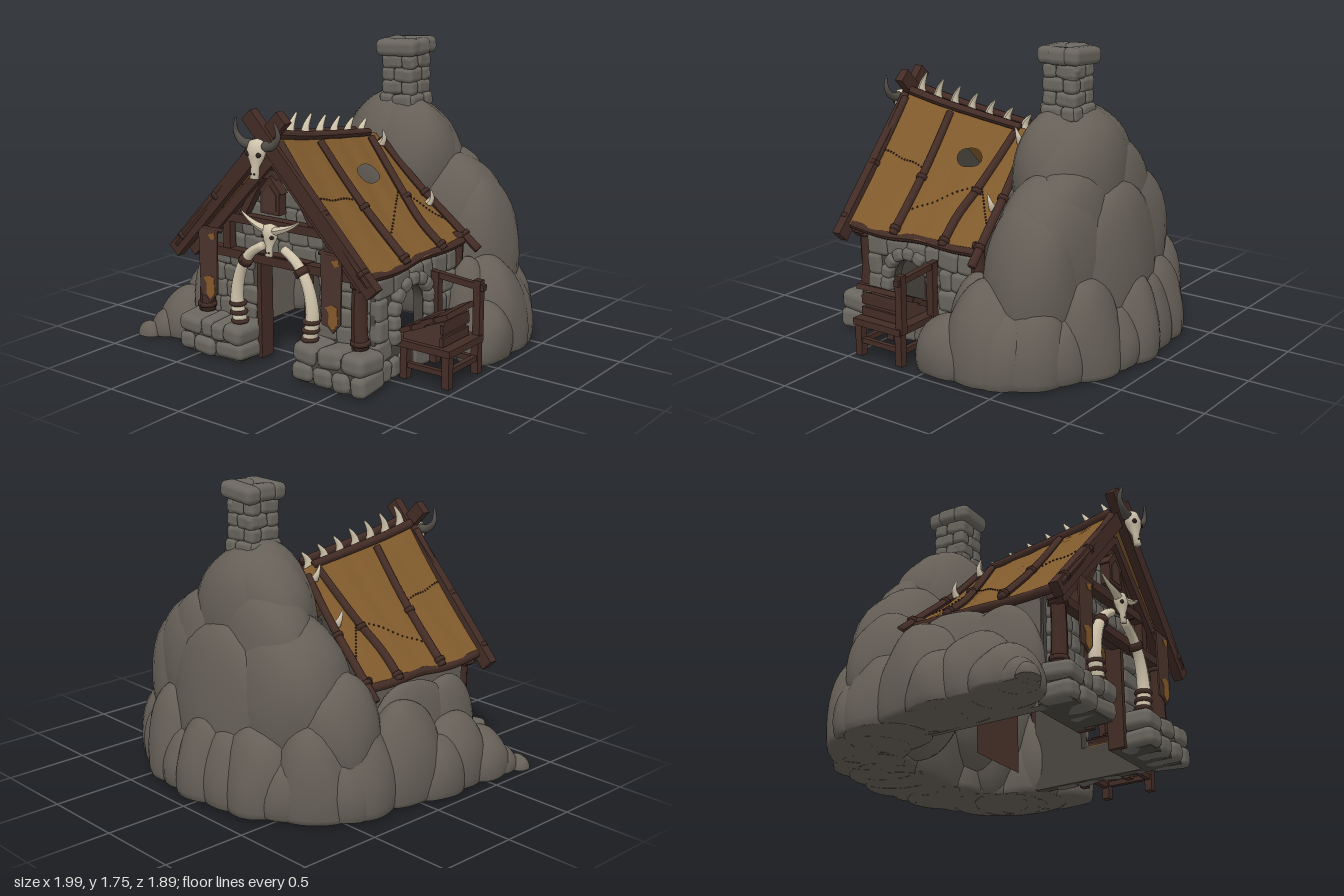
import * as THREE from 'three';
import { mergeVertices } from 'three/addons/utils/BufferGeometryUtils.js';
import { RoundedBoxGeometry } from 'three/addons/geometries/RoundedBoxGeometry.js';

const CX = 0.025; // centre line of the hut
const mat = (name, color) => Object.assign(new THREE.MeshStandardMaterial({ color }), { name });
const V = (x, y, z) => new THREE.Vector3(x, y, z);

export function createModel() {
  const root = new THREE.Group();
  const rockM = mat('rock', 0x655f57), stoneM = mat('cut stone', 0x6a665f), gapM = mat('mortar', 0x4a4640);
  const woodM = mat('wood', 0x432c25), doorM = mat('door wood', 0x4b342c), hideM = mat('hide', 0x805a2c);
  const stainM = mat('hide patch', 0x85592a), boneM = mat('bone', 0xcfc3aa), hornM = mat('horn', 0x514c46), darkM = mat('dark', 0x2a211d);
  hideM.side = THREE.DoubleSide;

  let seed = 7;
  const rnd = (a, b) => { seed = (seed * 16807) % 2147483647; return a + (b - a) * seed / 2147483647; };
  const add = (name, geo, m, x = 0, y = 0, z = 0, parent = root) => {
    const mesh = new THREE.Mesh(geo, m);
    mesh.name = name; mesh.position.set(x, y, z); parent.add(mesh);
    return mesh;
  };
  const box = (name, w, h, d, x, y, z, m = woodM, p = root) => add(name, new THREE.BoxGeometry(w, h, d), m, x, y, z, p);
  const stone = (w, h, d, x, y, z, p) => {
    const s = add('stone', new RoundedBoxGeometry(w, h, d, 2, Math.min(w, h, d) * 0.36), stoneM, x, y, z, p);
    s.rotation.set(rnd(-0.08, 0.08), rnd(-0.08, 0.08), rnd(-0.14, 0.14));
    return s;
  };
  // square timber between two points
  const beam = (name, a, b, w, d) => {
    const m = box(name, w, a.distanceTo(b), d, 0, 0, 0);
    m.position.copy(a).add(b).multiplyScalar(0.5);
    m.quaternion.setFromUnitVectors(V(0, 1, 0), b.clone().sub(a).normalize());
  };
  // curved tapering rod with flat ends
  const rod = (name, pts, r0, r1, m = woodM, p = root, n = 16, sides = 9) => {
    const path = new THREE.CatmullRomCurve3(pts), g = new THREE.TubeGeometry(path, n, 1, sides, false);
    const pos = g.attributes.position, v = V(0, 0, 0);
    for (let i = 0; i <= n; i++) {
      const c = path.getPointAt(i / n), j = Math.min(n - 1, Math.max(1, i)), to = path.getPointAt(j / n);
      const r = i === j ? r0 + (r1 - r0) * i / n : 0;
      for (let k = 0; k <= sides; k++) {
        const id = i * (sides + 1) + k;
        v.fromBufferAttribute(pos, id).sub(c).multiplyScalar(r).add(to);
        pos.setXYZ(id, v.x, v.y, v.z);
      }
    }
    g.computeVertexNormals();
    add(name, g, m, 0, 0, 0, p);
  };

  // Rock mound: overlapping lumpy boulders cut flat at the ground
  const boulder = (x, y, z, rx, ry, rz) => {
    let g = new THREE.SphereGeometry(1, 28, 20);
    g.deleteAttribute('uv'); g.deleteAttribute('normal');
    g = mergeVertices(g, 1e-4);
    const p = g.attributes.position;
    for (let i = 0; i < p.count; i++) {
      const a = p.getX(i), b = p.getY(i), c = p.getZ(i);
      const s = 1 + 0.025 * Math.sin(4 * a + 9 * x + 2 * b) + 0.025 * Math.sin(5 * c + 3 * b + 7 * z);
      p.setXYZ(i, x + a * rx * s, Math.max(0, y + b * ry * s), z + c * rz * s);
    }
    g.computeVertexNormals();
    add('boulder', g, rockM);
  };
  // ring of base boulders around the back
  for (let i = 0; i < 13; i++) {
    const a = i * Math.PI / 12, odd = i % 2;
    boulder(0.05 + 0.69 * Math.cos(a), 0.1, -0.3 - 0.4 * Math.sin(a), 0.24, (odd ? 0.3 : 0.42) + 0.05 * Math.sin(i * 2), odd ? 0.23 : 0.25);
  }
  // peak and shoulders
  [[0.06, 0.95, -0.4, 0.41, 0.45, 0.29], [-0.04, 1, -0.42, 0.31, 0.37, 0.24], [0.17, 1, -0.36, 0.28, 0.38, 0.24],
    [-0.25, 0.55, -0.44, 0.39, 0.52, 0.32], [0.36, 0.6, -0.46, 0.38, 0.48, 0.29], [0.54, 0.46, -0.46, 0.26, 0.5, 0.27],
    [0.05, 0.42, -0.6, 0.46, 0.58, 0.23], [-0.14, 0.78, -0.48, 0.32, 0.44, 0.23], [0.3, 0.74, -0.52, 0.29, 0.38, 0.2],
    [-0.54, 0.38, -0.36, 0.26, 0.38, 0.26]].forEach(b => boulder(...b));
  // boulders along the sides
  [[0.84, 0.1, -0.1, 0.16, 0.22, 0.2], [0.68, 0.2, -0.18, 0.15, 0.32, 0.16], [-0.72, 0.15, 0, 0.19, 0.4, 0.28],
    [-0.82, 0.08, 0.18, 0.14, 0.25, 0.2], [-0.76, 0.1, 0.36, 0.18, 0.3, 0.24], [-0.79, 0.05, 0.56, 0.18, 0.22, 0.2],
    [-0.64, 0.26, 0.14, 0.12, 0.36, 0.34], [-0.63, 0.22, 0.42, 0.13, 0.36, 0.25], [-0.86, 0.03, 0.68, 0.1, 0.12, 0.11],
    [-0.93, 0, 0.78, 0.07, 0.08, 0.06]].forEach(b => boulder(...b));

  // Stone facing laid in uneven courses on a local plane
  const courses = (p, x0, x1, y0, y1, rows, d, keep = () => true) => {
    const h = (y1 - y0) / rows;
    for (let r = 0; r < rows; r++) for (let x = x0; x < x1 - 0.03;) {
      let w = Math.min(rnd(0.08, 0.17), x1 - x);
      if (x1 - x - w < 0.06) w = x1 - x;
      const cx = x + w / 2, cy = y0 + h * (r + 0.5);
      if (keep(cx, cy, w / 2)) stone(w * 1.04, h * rnd(0.95, 1.15), d * rnd(0.88, 1.1), cx, cy, 0, p);
      x += w;
    }
  };
  const wallGroup = (name, x, z, ry) => {
    const g = new THREE.Group(); g.name = name; g.position.set(x, 0, z); g.rotation.y = ry; root.add(g); return g;
  };
  const slab = pts => new THREE.Shape(pts.map(q => new THREE.Vector2(...q)));
  const thin = (shape, depth) => new THREE.ExtrudeGeometry(shape, { depth, bevelEnabled: false, curveSegments: 10 });

  // Gable wall with doorway
  const front = wallGroup('frontWall', CX, 0.64, 0);
  add('wallCore', thin(slab([[-0.6, 0], [-0.175, 0], [-0.175, 0.6], [0.175, 0.6], [0.175, 0], [0.6, 0], [0.6, 0.6], [0, 1.2], [-0.6, 0.6]]), 0.06), gapM, 0, 0, -0.05, front);
  courses(front, -0.57, 0.57, 0.2, 1.1, 9, 0.07, (x, y, w) => Math.abs(x) + w < 1.18 - y && (y > 0.62 || Math.abs(x) - w > 0.16));
  // Front plinths
  for (const s of [-1, 1]) {
    const g = wallGroup('plinth', CX + s * 0.42, 0.735, 0);
    box('plinthCore', 0.42, 0.18, 0.19, 0, 0.09, -0.01, gapM, g);
    courses(g, -0.24, 0.24, 0, 0.21, 2, 0.23);
  }
  // Stone side wall with arched window; rock face on the other side
  box('rockFace', 0.06, 0.62, 0.83, CX - 0.58, 0.31, 0.225, rockM);
  const side = wallGroup('sideWall', CX + 0.59, 0.33, Math.PI / 2);
  const sideShape = slab([[-0.32, 0], [0.45, 0], [0.45, 0.62], [-0.32, 0.62]]), arch = new THREE.Path();
  arch.moveTo(-0.13, 0.2).lineTo(0.13, 0.2).lineTo(0.13, 0.36).absarc(0, 0.36, 0.13, 0, Math.PI, false);
  arch.closePath();
  sideShape.holes.push(arch);
  add('wallCore', thin(sideShape, 0.06), gapM, 0, 0, -0.05, side);
  courses(side, -0.32, 0.44, 0, 0.6, 5, 0.08, (x, y, w) => y < 0.17 || (y < 0.36 ? Math.abs(x) - w > 0.12 : Math.hypot(Math.max(0, Math.abs(x) - w), y - 0.36) > 0.15));
  for (let i = 0; i < 7; i++) {
    const a = Math.PI * (i + 0.5) / 7;
    stone(0.075, 0.08, 0.1, 0.17 * Math.cos(a), 0.36 + 0.17 * Math.sin(a), 0.015, side).rotation.z = a;
  }
  for (const t of [-1, 1]) for (const y of [0.24, 0.32]) stone(0.075, 0.085, 0.1, t * 0.17, y, 0.015, side);
  box('windowSillHide', 0.2, 0.008, 0.13, 0, 0.205, 0.02, stainM, side);

  // Doorway timbers and inner door
  add('innerDoor', new THREE.PlaneGeometry(0.42, 0.62), doorM, CX, 0.31, -0.03);
  for (const s of [-1, 1]) box('doorPost', 0.03, 0.6, 0.1, CX + s * 0.17, 0.3, 0.64);
  box('lintel', 0.42, 0.05, 0.1, CX, 0.61, 0.68);

  // Hide roof: point on either slope, u front to back, v ridge to eave
  const roof = (s, u, v, lift = 0) => {
    const zb = -0.12 - 0.07 * v;
    const sag = 0.025 * Math.sin(Math.PI * Math.min(1, Math.max(0, v))) + 0.01 * Math.sin(u * 16 + 1 + v * 2) ** 2;
    const ridge = 1.33 - 0.17 * u + 0.04 * u * u;
    return V(CX + s * (0.045 + 0.6 * v + lift * 0.7), ridge + (0.64 - ridge) * v - sag + lift * 0.7, 0.8 + (zb - 0.8) * u);
  };
  for (const s of [-1, 1]) {
    // hide panel woven from the smoke hole out to its edges
    const hr = s > 0 ? 0.09 : 0.001, N = 64, R = 12, pos = [], idx = [];
    for (let k = 0; k <= N; k++) {
      const t = 4 * k / N, e = Math.floor(t) % 4, f = t - Math.floor(t);
      const [eu, ev] = [[f, 0], [1, f], [1 - f, 1], [0, 1 - f]][e], a = Math.atan2(ev - 0.3, eu - 0.64);
      for (let j = 0; j <= R; j++) {
        const q = j / R, hu = 0.64 + hr * Math.cos(a), hv = 0.3 + hr * 0.8 * Math.sin(a);
        pos.push(...roof(s, hu + (eu - hu) * q, hv + (ev - hv) * q).toArray());
        if (k < N && j < R) { const b = k * (R + 1) + j, c = b + R + 1; idx.push(b, c, b + 1, c, c + 1, b + 1); }
      }
    }
    const g = new THREE.BufferGeometry();
    g.setAttribute('position', new THREE.Float32BufferAttribute(pos, 3)); g.setIndex(idx); g.computeVertexNormals();
    add('hideRoof', g, hideM);
    // poles over the hide: [u at ridge, u at eave, length]
    for (const [a, b, end] of [[0.01, 0, 1.12], [0.38, 0.38, 1.07], [0.9, 0.74, 1.07], [0.99, 0.99, 1.18]]) {
      const along = v => a + (b - a) * Math.min(1, v * 1.3);
      rod('roofPole', [-0.02, 0.25, 0.5, 0.75, end].map(v => roof(s, along(v), v, 0.012)), 0.022, 0.026);
      for (const v of [0.5, 0.93]) rod('poleKnot', [0, 0.03, 0.06].map(d => roof(s, along(v), v + d, 0.012)), 0.032, 0.032, woodM, root, 4);
    }
    rod('ridgePole', [0, 0.3, 0.6, 1].map(u => roof(s, u - 0.03, 0, 0.01)), 0.027, 0.024);
    rod('eavePole', [-0.02, 0.3, 0.55, 0.8, 1.03].map((u, i) => roof(s, u, 0.98 + 0.02 * (i % 2), -0.02)), 0.026, 0.026);
    // stitched seams
    for (const [u0, v0, u1, v1] of [[0.03, 0.42, 0.36, 0.46], [0.42, 0.78, 0.8, 0.45], [0.82, 0.5, 0.98, 0.8]]) for (let i = 0; i < 14; i++) {
      const q = roof(s, u0 + (u1 - u0) * i / 14, v0 + (v1 - v0) * i / 14, 0.003);
      box('stitch', 0.009, 0.008, 0.007, q.x, q.y, q.z).rotation.z = s * -0.8;
    }
    // crossed front rafters and inner truss
    beam('frontRafter', V(CX + s * 0.7, 0.57, 0.79), V(CX - s * 0.11, 1.43, 0.805 + s * 0.012), 0.085, 0.055);
    beam('innerRafter', V(CX + s * 0.6, 0.57, 0.74), V(CX, 1.19, 0.74), 0.055, 0.06);
    beam('strut', V(CX + s * 0.36, 0.6, 0.715), V(CX + s * 0.36, 0.86, 0.715), 0.05, 0.05);
    beam('brace', V(CX + s * 0.27, 0.8, 0.71), V(CX + s * 0.1, 1.09, 0.71), 0.04, 0.05);
    // posts
    rod('frontPost', [V(CX + s * 0.55, 0.19, 0.71), V(CX + s * 0.54, 0.4, 0.71), V(CX + s * 0.55, 0.66, 0.71)], 0.048, 0.04);
    for (const y of [0.23, 0.55]) rod('postBand', [0, 0.025, 0.05].map(d => V(CX + s * 0.548, y + d, 0.71)), 0.056, 0.056, woodM, root, 4);
    rod('rearPost', [V(CX + s * 0.6, 0.1, -0.13), V(CX + s * 0.6, 0.4, -0.14), V(CX + s * 0.6, 0.72, -0.15)], 0.04, 0.035);
    // banners with patches
    const bx = CX + s * 0.435;
    rod('bannerRod', [V(bx - 0.1, 0.74, 0.8), V(bx, 0.735, 0.8), V(bx + 0.1, 0.74, 0.8)], 0.014, 0.014);
    add('banner', thin(slab([[-0.07, 0.74], [-0.065, 0.35], [-0.02, 0.34], [0.01, 0.31], [0.06, 0.37], [0.07, 0.74]]), 0.01), doorM, bx, 0, 0.804);
    add('bannerPatch', thin(slab([[-0.04, 0.45], [-0.015, 0.42], [-0.02, 0.36], [0.012, 0.33], [0.045, 0.37], [0.04, 0.46], [0.01, 0.47]]), 0.003), stainM, bx, 0, 0.814);
    add('bannerTopPatch', thin(slab([[0, 0.71], [0.025, 0.68], [0.055, 0.69], [0.05, 0.725]]), 0.003), stainM, bx, 0, 0.814);
    // door tusks
    rod('tusk', [[0.245, 0.2], [0.27, 0.36], [0.235, 0.53], [0.16, 0.64], [0.05, 0.71]].map(([x, y]) => V(CX + s * x, y, 0.765)), 0.043, 0.024, boneM, root, 24, 12);
    for (const [x, y] of [[0.25, 0.23], [0.257, 0.28], [0.262, 0.33]]) {
      const t = add('tuskBinding', new THREE.TorusGeometry(0.04, 0.013, 6, 14), woodM, CX + s * x, y, 0.765);
      t.rotation.x = Math.PI / 2;
    }
    rod('tuskBinding', [0, 0.025, 0.05].map(d => V(CX + s * (0.222 - d), 0.56 + d * 1.3, 0.765)), 0.042, 0.04, woodM, root, 4);
    // teeth standing on the slopes
    for (const [u, v] of [[0.95, s > 0 ? 0.62 : 0.45], [0.95, 0.1]]) {
      const q = roof(s, u, v);
      rod('roofTooth', [q, q.clone().add(V(s * 0.025, 0.04, 0)), q.clone().add(V(s * 0.03, 0.1, 0.02))], 0.025, 0.003, boneM);
    }
  }
  // cross ties and attic hatch
  for (const [y, w] of [[0.6, 0.62], [0.81, 0.38], [1.09, 0.12]]) beam('tieBeam', V(CX - w, y, 0.715), V(CX + w, y + 0.01, 0.715), 0.05, 0.06);
  add('hatchFrame', thin(slab([[-0.065, 0.88], [0.065, 0.88], [0.065, 1.0], [0.08, 1.0], [0, 1.09], [-0.08, 1.0], [-0.065, 1.0]]), 0.06), woodM, CX - 0.015, 0, 0.71);
  add('hatchPanel', thin(slab([[-0.045, 0.9], [0.045, 0.9], [0.045, 0.99], [0, 1.04], [-0.045, 0.99]]), 0.004), doorM, CX - 0.015, 0, 0.77);

  // Ridge teeth
  for (let i = 0; i < 7; i++) {
    const z = 0.71 - i * 0.127, y = 1.3 - (0.8 - z) * 0.15, h = 0.16 - i * 0.008;
    rod('ridgeTooth', [V(CX, y, z + 0.03), V(CX, y + h * 0.5, z + 0.015), V(CX + 0.005, y + h, z - 0.03)], 0.034, 0.004, boneM);
  }

  // Horned skulls
  const skull = (name, y, z, k, tilt, hornMat, horn) => {
    const g = new THREE.Group(); g.name = name; g.position.set(CX, y, z); g.scale.setScalar(k); g.rotation.x = tilt; root.add(g);
    const prof = [[0, -0.13], [0.028, -0.125], [0.026, -0.06], [0.05, -0.01], [0.06, 0.03], [0.048, 0.075], [0, 0.09]].map(q => new THREE.Vector2(...q));
    add('skullBone', new THREE.LatheGeometry(prof, 14), boneM, 0, 0, 0, g).scale.z = 0.75;
    for (const s of [-1, 1]) {
      add('eyeSocket', new THREE.SphereGeometry(0.014, 10, 8), darkM, s * 0.036, 0.005, 0.026, g);
      add('nostril', new THREE.SphereGeometry(0.006, 8, 6), darkM, s * 0.011, -0.1, 0.018, g);
      rod('skullHorn', horn.map(q => V(s * q[0], q[1], q[2])), 0.032, 0.004, hornMat, g);
    }
  };
  skull('gableSkull', 1.23, 0.89, 1, -0.15, hornM, [[0.03, 0.05, -0.01], [0.1, 0.06, 0], [0.145, 0.11, 0.01], [0.13, 0.2, 0.04]]);
  skull('doorSkull', 0.76, 0.79, 0.85, -0.1, boneM, [[0.02, 0.04, 0], [0.09, 0.06, 0.01], [0.17, 0.09, 0.01], [0.25, 0.14, 0.01]]);

  // Chimney
  const chimney = wallGroup('chimney', 0.1, -0.38, 0);
  box('flue', 0.17, 0.33, 0.17, 0, 1.47, 0, gapM, chimney);
  for (let r = 0; r < 4; r++) for (let k = 0; k < 4; k++) {
    const a = k * Math.PI / 2 + (r % 2) * 0.04, w = 0.085 + 0.05 * ((r + k) % 2), d = r === 0 ? 0.09 : 0.073;
    for (const [o, ww] of [[-0.11 + w / 2, w], [w / 2, 0.22 - w]])
      stone(ww, 0.085, 0.07, Math.cos(a) * o + Math.sin(a) * d, 1.36 + r * 0.077, -Math.sin(a) * o + Math.cos(a) * d, chimney).rotation.y = a;
  }
  for (const s of [-1, 1]) {
    stone(0.265, 0.1, 0.11, 0, 1.675, s * 0.087, chimney);
    stone(0.105, 0.1, 0.15, s * 0.08, 1.675, 0, chimney);
  }

  // Side stall with a sloped bin
  box('stallTop', 0.36, 0.04, 0.34, 0.8, 0.2, 0.3);
  for (const z of [0.15, 0.44]) {
    for (const x of [0.68, 0.95]) box('stallLeg', 0.045, 0.2, 0.045, x, 0.1, z);
    box('stallRail', 0.3, 0.03, 0.03, 0.81, 0.08, z);
  }
  box('stallCrossRail', 0.03, 0.03, 0.3, 0.95, 0.09, 0.3);
  for (const x of [0.68, 0.95]) box('tallPost', 0.045, 0.34, 0.045, x, 0.36, 0.14);
  beam('handRail', V(0.6, 0.52, 0.14), V(0.99, 0.49, 0.14), 0.035, 0.035);
  add('bin', thin(slab([[0.66, 0.22], [0.9, 0.22], [0.93, 0.37], [0.66, 0.26]]), 0.24), doorM, 0, 0, 0.2);
  for (let i = 0; i < 4; i++) {
    const b = box('binBoard', 0.085, 0.03, 0.28, 0.69 + i * 0.073, 0.28 + i * 0.036, 0.32);
    b.rotation.set(0, 0.05 * (i % 2 ? 1 : -1), 0.42);
  }
  for (const y of [0.25, 0.32]) box('binSlat', 0.02, 0.05, 0.26, 0.915, y, 0.32);
  return root;
}
